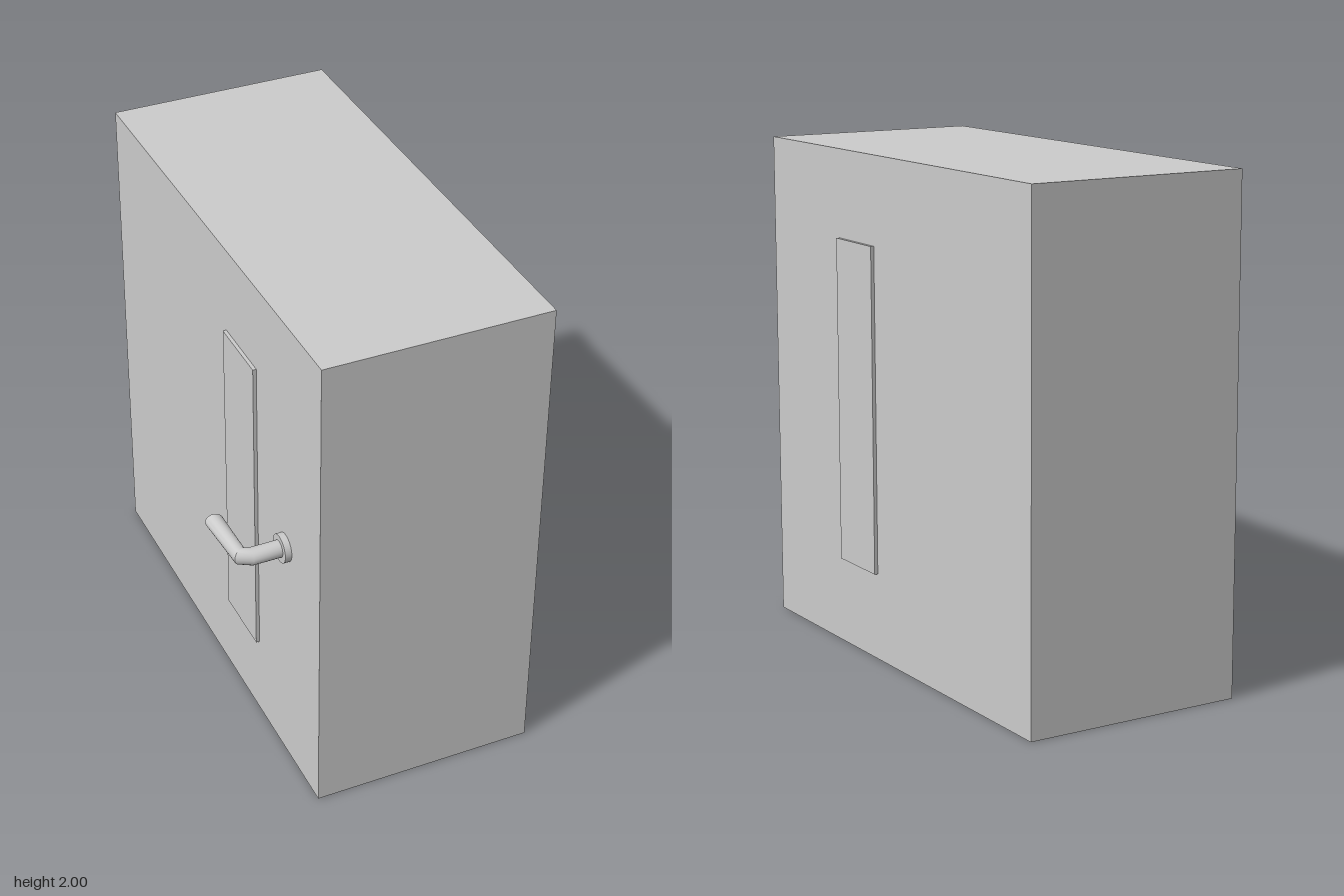
import * as THREE from 'three';
import { toCreasedNormals } from 'three/addons/utils/BufferGeometryUtils.js';

const material = new THREE.MeshStandardMaterial({ color: 0xcccccc });
const CENTRE_X = 0.098;

function addMesh(parent, name, geometry, x = 0, y = 0, z = 0) {
  const mesh = new THREE.Mesh(geometry, material);
  mesh.name = name;
  mesh.position.set(x, y, z);
  parent.add(mesh);
  return mesh;
}

// Bent round bar swept through mitred rings: [outer x, outer z, inner x, inner z]
function bentBar(rings, radius, sides) {
  const positions = [];
  const index = [];
  for (const [ox, oz, ix, iz] of rings) {
    for (let j = 0; j < sides; j++) {
      const a = (j / sides) * Math.PI * 2;
      const c = Math.cos(a) / 2;
      positions.push((ox + ix) / 2 + (ox - ix) * c, radius * Math.sin(a), (oz + iz) / 2 + (oz - iz) * c);
    }
  }
  for (let i = 0; i < rings.length - 1; i++) {
    for (let j = 0; j < sides; j++) {
      const k = (j + 1) % sides;
      const a = i * sides + j, b = i * sides + k;
      index.push(a, b, a + sides, b, b + sides, a + sides);
    }
  }
  // Flat cap on the free end
  const last = (rings.length - 1) * sides;
  for (let j = 1; j < sides - 1; j++) index.push(last, last + j, last + j + 1);
  const geometry = new THREE.BufferGeometry();
  geometry.setAttribute('position', new THREE.Float32BufferAttribute(positions, 3));
  geometry.setIndex(index);
  return toCreasedNormals(geometry, 0.6);
}

export function createModel() {
  const model = new THREE.Group();
  model.name = 'doorBlock';

  // Main slab
  addMesh(model, 'body', new THREE.BoxGeometry(0.898, 2, 1.965), CENTRE_X, 1, 0);

  // Tall narrow panel standing just proud of both broad sides
  for (const side of [-1, 1]) {
    addMesh(model, side < 0 ? 'rightPanel' : 'leftPanel',
      new THREE.BoxGeometry(0.03, 1.3, 0.28), CENTRE_X + side * 0.448, 1, 0.281);
  }

  // Lever handle on the right side
  const handle = new THREE.Group();
  handle.name = 'handle';
  handle.position.set(0, 1.018, 0);
  model.add(handle);

  const rose = addMesh(handle, 'handleRose', new THREE.CylinderGeometry(0.057, 0.057, 0.027, 32), -0.3635, 0, 0.679);
  rose.rotation.z = Math.PI / 2;

  addMesh(handle, 'handleLever', bentBar([
    [-0.36, 0.713, -0.36, 0.644],
    [-0.49, 0.713, -0.492, 0.644],
    [-0.553, 0.676, -0.497, 0.642],
    [-0.567, 0.424, -0.498, 0.437],
  ], 0.034, 20));

  return model;
}
